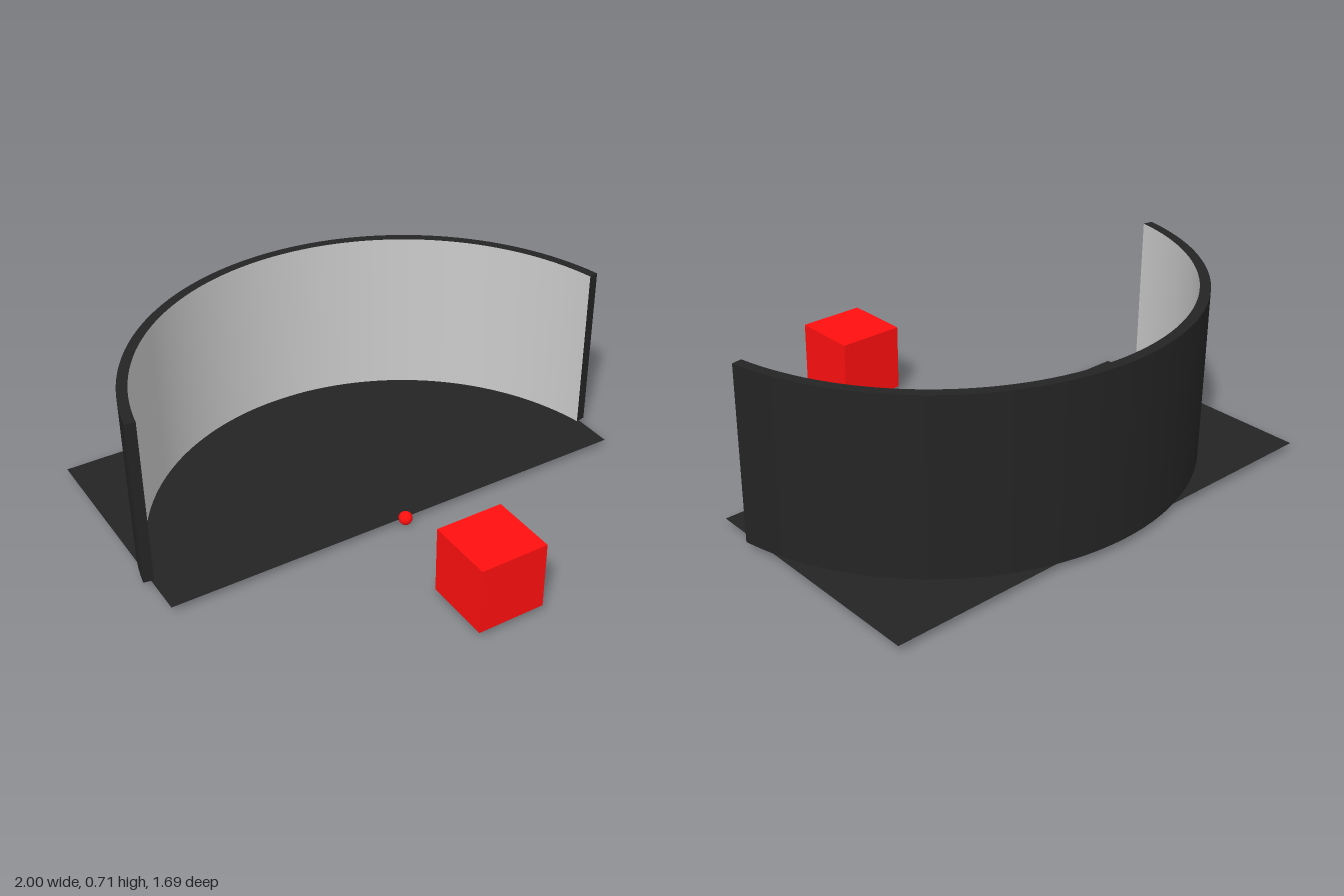
import * as THREE from 'three';

const BASE = 0.03, TOP = 0.71;        // wall height range
const CENTRE_Z = 0.17;                // axis of the curved wall
const OUTER = 1.015, INNER = 0.975;
const TRIM = THREE.MathUtils.degToRad(10); // each end stops short of a half circle

const dark = new THREE.MeshStandardMaterial({ color: 0x242424 });
const darkThin = new THREE.MeshStandardMaterial({ color: 0x242424, side: THREE.DoubleSide });
const grey = new THREE.MeshStandardMaterial({ color: 0xcccccc });
const red = new THREE.MeshStandardMaterial({ color: 0xff0f0f });

function addMesh(parent, name, geometry, material, x = 0, y = 0, z = 0) {
  const mesh = new THREE.Mesh(geometry, material);
  mesh.name = name;
  mesh.position.set(x, y, z);
  parent.add(mesh);
  return mesh;
}

function createCurvedScreen() {
  const screen = new THREE.Group();
  screen.name = 'curvedScreen';
  screen.position.z = CENTRE_Z;

  // Each side of the rectangular wall section is swept on its own to keep edges sharp
  const corners = [[OUTER, BASE], [OUTER, TOP], [INNER, TOP], [INNER, BASE]]
    .map(([r, y]) => new THREE.Vector2(r, y));
  const names = ['screenBack', 'screenTopEdge', 'screenFace', 'screenBottomEdge'];
  names.forEach((name, i) => {
    const strip = new THREE.LatheGeometry(
      [corners[i], corners[(i + 1) % 4]], 64, Math.PI / 2 + TRIM, Math.PI - 2 * TRIM);
    addMesh(screen, name, strip, name === 'screenFace' ? grey : dark);
  });

  // Flat caps closing both ends of the wall
  const mid = (OUTER + INNER) / 2;
  for (const [name, side] of [['leftEnd', 1], ['rightEnd', -1]]) {
    const cap = addMesh(screen, name, new THREE.PlaneGeometry(OUTER - INNER, TOP - BASE), dark,
      side * mid * Math.cos(TRIM), (BASE + TOP) / 2, -mid * Math.sin(TRIM));
    cap.rotation.y = side * TRIM;
  }
  return screen;
}

export function createModel() {
  const model = new THREE.Group();
  model.name = 'curvedScreenScene';
  model.add(createCurvedScreen());

  // Thin floor sheet under the screen
  const floor = addMesh(model, 'floor', new THREE.PlaneGeometry(1.942, 0.971), darkThin,
    0, BASE, -0.317);
  floor.rotation.x = -Math.PI / 2;

  // Marker ball on the screen axis and the cube in front of it
  addMesh(model, 'centreMarker', new THREE.SphereGeometry(0.027, 32, 16), red, 0, 0.027, CENTRE_Z);
  addMesh(model, 'cube', new THREE.BoxGeometry(0.27, 0.27, 0.27), red, 0, BASE + 0.135, 0.71);

  return model;
}
